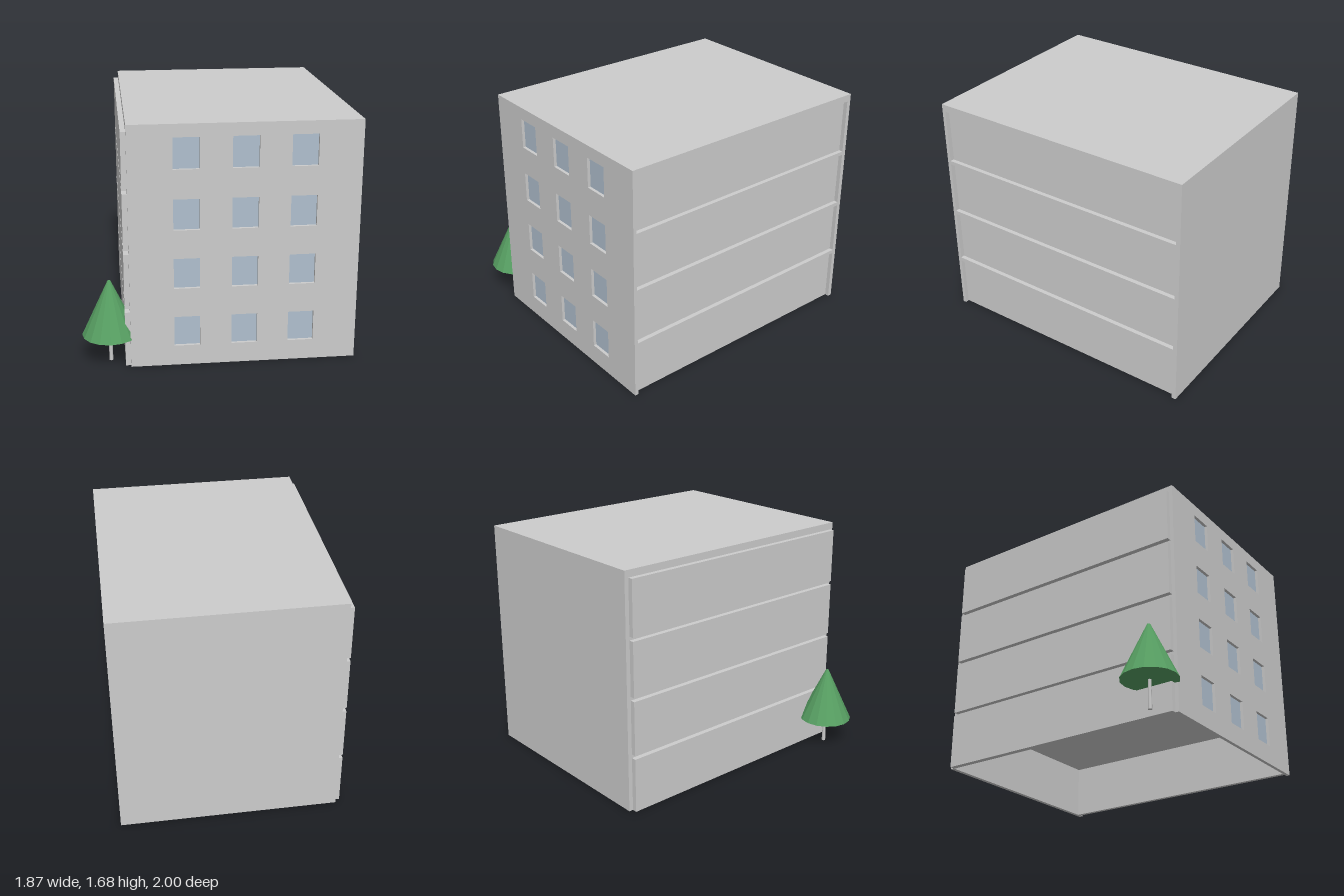
import * as THREE from 'three';

const wallMat = new THREE.MeshStandardMaterial({ name: 'light grey concrete', color: 0xcccccc });
const glassMat = new THREE.MeshStandardMaterial({ name: 'pale blue glass', color: 0xafbfce });
const leafMat = new THREE.MeshStandardMaterial({ name: 'tree green', color: 0x579f62 });
leafMat.flatShading = true;

// Shell limits and the inner faces of the front and back walls
const X0 = -0.61, X1 = 0.93, Z0 = -1, Z1 = 0.93;
const BACK = -0.97, FRONT = 0.905, ROOF = 1.63, TOP = 1.68;
const PANEL_X = 0.9;
const storeys = [[0, 0.39], [0.418, 0.803], [0.83, 1.217], [1.243, ROOF]];
const windowX = [-0.315, 0.073, 0.46];
const windowY = [0.142, 0.558, 0.968, 1.38];
const WIN_W = 0.175, WIN_H = 0.212;

function box(name, x0, x1, y0, y1, z0, z1, mat = wallMat) {
  const mesh = new THREE.Mesh(new THREE.BoxGeometry(x1 - x0, y1 - y0, z1 - z0), mat);
  mesh.position.set((x0 + x1) / 2, (y0 + y1) / 2, (z0 + z1) / 2);
  mesh.name = name;
  return mesh;
}

function rectangle(path, x, y, w, h) {
  path.moveTo(x, y);
  path.lineTo(x + w, y);
  path.lineTo(x + w, y + h);
  path.lineTo(x, y + h);
  path.closePath();
  return path;
}

function createBuilding() {
  const building = new THREE.Group();
  building.name = 'building';

  // Front wall with window openings
  const shape = rectangle(new THREE.Shape(), X0, 0, X1 - X0, ROOF);
  for (const x of windowX) for (const y of windowY) {
    shape.holes.push(rectangle(new THREE.Path(), x, y, WIN_W, WIN_H));
    building.add(box('windowPane', x, x + WIN_W, y, y + WIN_H, 0.902, 0.909, glassMat));
  }
  const front = new THREE.Mesh(
    new THREE.ExtrudeGeometry(shape, { depth: Z1 - FRONT, bevelEnabled: false }), wallMat);
  front.position.z = FRONT;
  front.name = 'frontWall';
  building.add(front);

  // Roof, back wall, left wall and the closed upper storeys above the hollow ground floor
  building.add(
    box('roof', X0, X1, ROOF, TOP, Z0, Z1),
    box('backWall', X0, X1, 0, ROOF, Z0, BACK),
    box('leftWall', X0, X0 + 0.006, 0, ROOF, BACK, FRONT),
    box('upperStoreys', X0 + 0.006, PANEL_X, 0.39, ROOF, BACK, 0.9),
    box('groundRightWall', PANEL_X - 0.03, PANEL_X, 0, 0.39, BACK, FRONT));

  // Raised panels on the left, floor bands between the recesses on the right
  storeys.forEach(([y0, y1], i) => {
    building.add(box('leftPanel', -0.645, X0, y0, y1, BACK, FRONT));
    if (i < 3) building.add(box('floorBand', PANEL_X, X1, y1, storeys[i + 1][0], BACK, FRONT));
  });
  return building;
}

function createTree() {
  const tree = new THREE.Group();
  tree.name = 'tree';
  const trunk = new THREE.Mesh(new THREE.CylinderGeometry(0.011, 0.014, 0.21, 8), wallMat);
  trunk.position.y = 0.105;
  trunk.name = 'trunk';
  const crown = new THREE.Mesh(new THREE.CylinderGeometry(0.011, 0.192, 0.385, 16), leafMat);
  crown.position.y = 0.2 + 0.385 / 2;
  crown.name = 'crown';
  tree.add(trunk, crown);
  tree.position.set(-0.743, 0, 0.805);
  return tree;
}

export function createModel() {
  const model = new THREE.Group();
  model.name = 'apartmentBlockWithTree';
  model.add(createBuilding(), createTree());
  return model;
}
